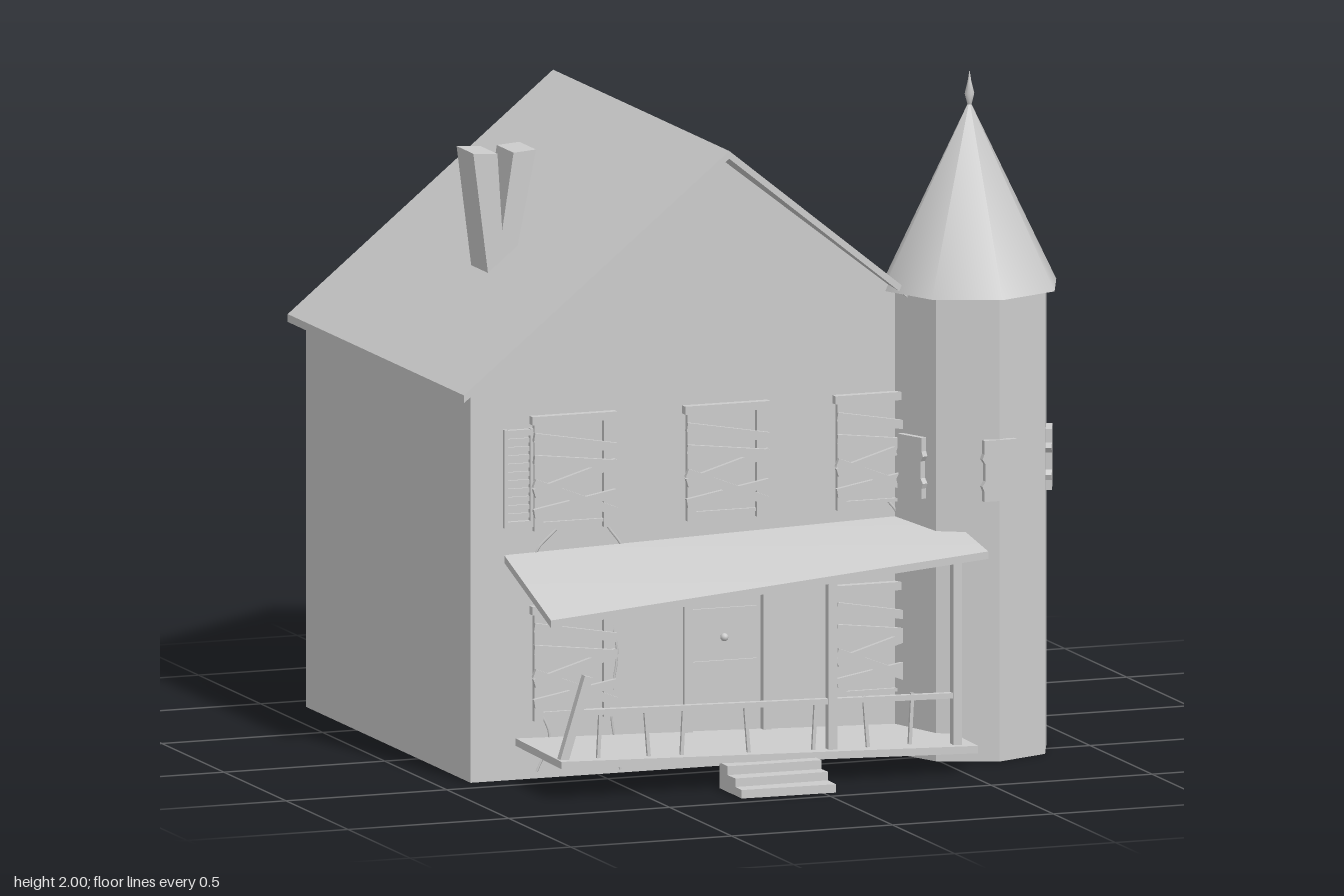
import * as THREE from 'three';

const stone = new THREE.MeshStandardMaterial({ color: 0xcccccc });
stone.name = 'plain grey';

export function createModel() {
  const root = new THREE.Group();

  const add = (name, geo, parent = root) => {
    const m = new THREE.Mesh(geo, stone);
    m.name = name;
    parent.add(m);
    return m;
  };
  const group = (name) => {
    const g = new THREE.Group();
    g.name = name;
    root.add(g);
    return g;
  };
  // axis-aligned box from its limits
  const box = (name, x0, x1, y0, y1, z0, z1, parent) => {
    const g = new THREE.BoxGeometry(x1 - x0, y1 - y0, z1 - z0);
    g.translate((x0 + x1) / 2, (y0 + y1) / 2, (z0 + z1) / 2);
    return add(name, g, parent);
  };
  // straight board between two points of a plane facing the front
  const beam = (name, x0, y0, x1, y1, z, w, d, parent) => {
    const g = new THREE.BoxGeometry(Math.hypot(x1 - x0, y1 - y0), w, d);
    g.rotateZ(Math.atan2(y1 - y0, x1 - x0));
    g.translate((x0 + x1) / 2, (y0 + y1) / 2, z);
    return add(name, g, parent);
  };
  // outline in x,y extruded from z0 to z1
  const plate = (name, pts, z0, z1, parent, hole) => {
    const s = new THREE.Shape(pts.map(p => new THREE.Vector2(...p)));
    if (hole) s.holes.push(new THREE.Path(hole.map(p => new THREE.Vector2(...p))));
    const g = new THREE.ExtrudeGeometry(s, { depth: z1 - z0, bevelEnabled: false });
    g.translate(0, 0, z0);
    return add(name, g, parent);
  };
  // warped slab with a top height for each corner: back left, back right, front left, front right
  const slab = (name, x0, x1, z0, z1, t, bl, br, fl, fr) => {
    const g = new THREE.BoxGeometry(1, t, 1).rotateY(Math.PI / 2);
    const p = g.attributes.position;
    for (let i = 0; i < p.count; i++) {
      const u = p.getX(i) + 0.5, v = p.getZ(i) + 0.5;
      const top = (bl * (1 - u) + br * u) * (1 - v) + (fl * (1 - u) + fr * u) * v;
      p.setXYZ(i, x0 + u * (x1 - x0), top + p.getY(i) - t / 2, z0 + v * (z1 - z0));
    }
    g.computeVertexNormals();
    return add(name, g);
  };

  // house walls: gabled front with a doorway, flat-topped back, open attic and floor
  plate('frontWall', [[-0.895, 0], [0.685, 0], [0.685, 1.165], [-0.105, 1.78], [-0.895, 1.165]], 0.4, 0.42,
    root, [[-0.22, 0.09], [-0.22, 0.55], [0.01, 0.55], [0.01, 0.09]]);
  box('backWall', -0.895, 0.685, 0, 1.165, -0.905, -0.885);
  box('leftSideWall', 0.665, 0.685, 0, 1.18, -0.9, 0.41);
  box('rightSideWall', -0.895, -0.875, 0, 1.18, -0.9, 0.41);

  // pitched roof
  plate('roof', [[-0.935, 1.13], [-0.11, 1.797], [0.72, 1.13], [0.72, 1.153], [-0.11, 1.82], [-0.935, 1.153]],
    -0.95, 0.47);

  // forked chimney
  const chimney = group('chimney');
  plate('chimneyStack', [[-0.63, 1.36], [-0.58, 1.36], [-0.605, 1.745], [-0.68, 1.75]], -0.25, -0.115, chimney);
  plate('chimneyStack', [[-0.615, 1.36], [-0.565, 1.36], [-0.485, 1.75], [-0.555, 1.745]], -0.25, -0.115, chimney);

  // eight-sided tower with cone roof and finial
  const tower = group('tower');
  tower.position.set(0.66, 0, 0.41);
  add('towerWall', new THREE.CylinderGeometry(0.24, 0.24, 1.38, 8).toNonIndexed(), tower).position.y = 0.69;
  const wall = tower.children[0].geometry;
  wall.computeVertexNormals();
  add('towerRoof', new THREE.ConeGeometry(0.27, 0.545, 8), tower).position.y = 1.638;
  const finial = [[0, 1.88], [0.007, 1.9], [0.015, 1.93], [0.006, 1.965], [0, 2]];
  add('finial', new THREE.LatheGeometry(finial.map(p => new THREE.Vector2(...p)), 8), tower);
  // notched shutters around the tower
  const half = [[0.05, 0.77], [0.05, 0.8], [0.056, 0.815], [0.046, 0.83], [0.046, 0.88],
    [0.056, 0.895], [0.05, 0.91], [0.05, 0.95]];
  const notched = [...half, ...half.map(([x, y]) => [-x, y]).reverse()];
  for (const [deg, r] of [[0, 0.24], [67.5, 0.23], [-67.5, 0.23]]) {
    plate('towerShutter', notched, r - 0.01, r + 0.01, tower).rotation.y = deg * Math.PI / 180;
  }

  // boarded windows
  const boards = [[1.01, 0.965], [0.945, 0.915], [0.845, 0.92], [0.875, 0.775], [0.785, 0.83]];
  const boardedWindow = (cx, dy) => {
    const g = group('boardedWindow');
    g.position.set(cx, dy, 0);
    for (const s of [-1, 1]) box('windowPost', s * 0.108 - 0.014, s * 0.108 + 0.014, 0.73, 1.06, 0.415, 0.435, g);
    box('windowHead', -0.132, 0.132, 1.046, 1.07, 0.415, 0.445, g);
    box('windowSill', -0.11, 0.11, 0.745, 0.755, 0.415, 0.43, g);
    for (const [a, b] of boards) beam('windowBoard', -0.128, a, 0.128, b, 0.445, 0.026, 0.014, g);
  };
  for (const x of [-0.58, -0.105, 0.362]) boardedWindow(x, 0);
  for (const x of [-0.58, 0.362]) boardedWindow(x, -0.56);

  // louvred shutter
  const shutter = group('shutter');
  for (const x of [-0.795, -0.715]) box('shutterStile', x, x + 0.01, 0.745, 1.035, 0.415, 0.435, shutter);
  for (const y of [0.745, 1.015]) box('shutterRail', -0.795, -0.705, y, y + 0.018, 0.415, 0.435, shutter);
  for (let i = 0; i < 10; i++) {
    const y = 0.772 + i * 0.0245;
    box('shutterSlat', -0.785, -0.715, y, y + 0.014, 0.415, 0.428, shutter);
  }

  // cracks in the front wall
  const cracks = [[[-0.63, 0.73], [-0.69, 0.67], [-0.7, 0.6]], [[-0.47, 0.73], [-0.42, 0.65], [-0.46, 0.52]],
    [[-0.49, 0.53], [-0.44, 0.37], [-0.46, 0.2], [-0.43, 0.01]], [[-0.68, 0.2], [-0.65, 0.12], [-0.69, 0.02]],
    [[0.4, 0.75], [0.43, 0.71], [0.44, 0.66]]];
  for (const c of cracks) {
    const path = new THREE.CatmullRomCurve3(c.map(([x, y]) => new THREE.Vector3(x, y, 0.42)));
    add('crack', new THREE.TubeGeometry(path, 12, 0.004, 5));
  }

  // front door with frame, panels and knob
  const door = group('door');
  box('doorLeaf', -0.22, 0.01, 0.09, 0.55, 0.4, 0.412, door);
  for (const [a, b] of [[0.115, 0.31], [0.33, 0.465], [0.48, 0.54]])
    box('doorPanel', -0.205, -0.005, a, b, 0.412, 0.42, door);
  for (const x of [-0.235, 0.01]) box('doorJamb', x, x + 0.025, 0.09, 0.56, 0.415, 0.435, door);
  box('doorHead', -0.235, 0.035, 0.55, 0.565, 0.415, 0.44, door);
  add('doorKnob', new THREE.SphereGeometry(0.012, 12, 8), door).position.set(-0.11, 0.38, 0.43);

  // sagging porch roof and floor
  slab('porchRoof', -0.79, 0.57, 0.415, 0.795, 0.022, 0.665, 0.705, 0.535, 0.65);
  slab('porchFloor', -0.755, 0.54, 0.415, 0.79, 0.022, 0.122, 0.085, 0.115, 0.078);

  // porch posts and the broken one
  box('porchPost', 0.085, 0.112, 0.08, 0.612, 0.738, 0.765);
  box('porchPost', 0.473, 0.5, 0.075, 0.63, 0.738, 0.765);
  beam('brokenPost', -0.74, 0.1, -0.66, 0.355, 0.752, 0.026, 0.026);

  // railing with leaning balusters
  beam('railing', -0.7, 0.25, 0.48, 0.225, 0.752, 0.016, 0.02);
  [-0.62, -0.48, -0.36, -0.17, 0.05, 0.2, 0.35].forEach((x, i) => {
    beam('baluster', x + (i % 2 ? 0.012 : -0.008), 0.09, x, 0.24, 0.752, 0.01, 0.01);
  });

  // crooked front steps
  [[0.95, 0.88, 0.025], [0.89, 0.825, 0.05], [0.835, 0.765, 0.076]].forEach(([z1, z0, y], i) => {
    const step = box('step', -0.145, 0.145, 0, y, z0 - (z0 + z1) / 2, z1 - (z0 + z1) / 2);
    step.position.set(-0.108, 0, (z0 + z1) / 2 - 0.004);
    step.rotation.y = [-0.03, 0.02, -0.015][i];
  });

  return root;
}
